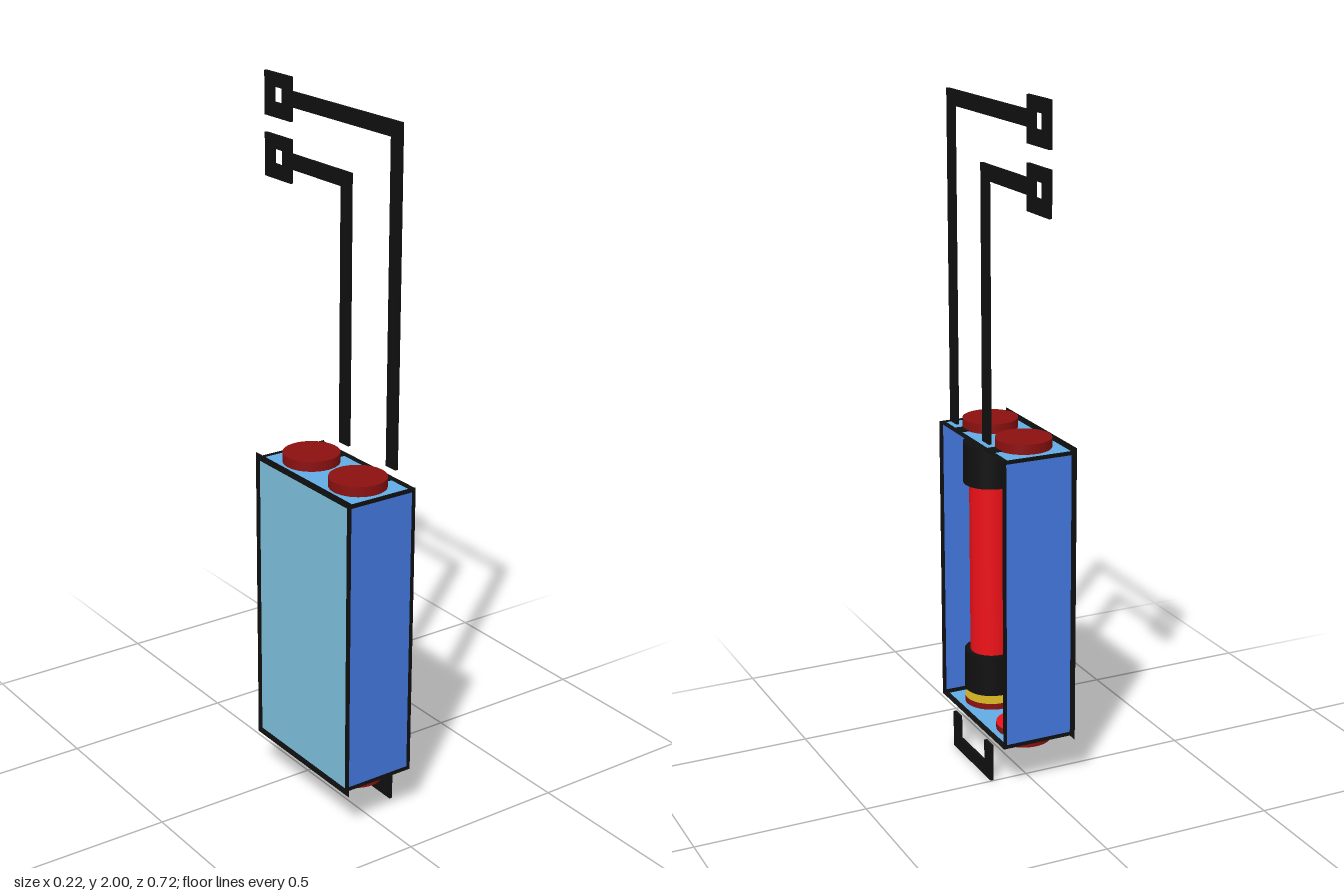
import * as THREE from 'three';

const mat = (color, side = THREE.FrontSide) => new THREE.MeshStandardMaterial({ color, side });
const black = mat(0x101010);
const blackSheet = mat(0x101010, THREE.DoubleSide);
const darkRed = mat(0x8c1010);
const red = mat(0xee1118);
const yellow = mat(0xc8a820);

// rectangle outline, corner to corner
function rect(u0, v0, u1, v1, Type = THREE.Shape) {
  const r = new Type();
  r.moveTo(u0, v0); r.lineTo(u1, v0); r.lineTo(u1, v1); r.lineTo(u0, v1); r.closePath();
  return r;
}

function poly(points) {
  return new THREE.Shape(points.map(([u, v]) => new THREE.Vector2(u, v)));
}

function add(parent, name, geometry, material) {
  const mesh = new THREE.Mesh(geometry, material);
  mesh.name = name;
  parent.add(mesh);
  return mesh;
}

// thin coloured wall with a black border; right = border width on the u1 side
function wall(parent, name, [u0, v0, u1, v1], border, color, right = border) {
  const g = new THREE.Group();
  g.name = name;
  const inner = [u0 + border, v0 + border, u1 - right, v1 - border];
  const frame = rect(u0, v0, u1, v1);
  frame.holes.push(rect(...inner, THREE.Path));
  add(g, name + 'Border', new THREE.ShapeGeometry(frame), blackSheet);
  add(g, name + 'Sheet', new THREE.ShapeGeometry(rect(...inner)), mat(color, THREE.DoubleSide));
  parent.add(g);
  return g;
}

export function createModel() {
  const model = new THREE.Group();
  model.name = 'batteryHolder';
  const cx = -0.005, midY = 0.565;
  const slots = [0.243, 0.025];

  // case, open towards +x
  const sidePanel = wall(model, 'sidePanel', [-0.093, 0.125, 0.36, 1.005], 0.02, 0x7ec2df);
  sidePanel.rotation.y = -Math.PI / 2;
  sidePanel.position.x = -0.111;
  for (const [name, z] of [['frontWall', 0.345], ['backWall', -0.081]]) {
    wall(model, name, [-0.113, 0.135, 0.111, 0.995], 0.012, 0x4479e2).position.z = z;
  }
  for (const [name, y] of [['topWall', 0.992], ['bottomWall', 0.138]]) {
    const w = wall(model, name, [-0.113, -0.083, 0.111, 0.347], 0.01, 0x62ade4, 0.019);
    w.rotation.x = Math.PI / 2;
    w.position.y = y;
  }

  // contact discs through the end walls, with contact tabs to the open edge
  for (const s of [1, -1]) {
    slots.forEach((z, i) => {
      const inner = i === 0 ? yellow : red;
      const caps = s > 0 ? [darkRed, inner] : [inner, darkRed];
      const disc = add(model, 'contactDisc', new THREE.CylinderGeometry(0.08, 0.08, 0.047, 48), [darkRed, ...caps]);
      disc.position.set(cx, midY + s * 0.432, z);
      const tab = add(model, 'contactTab', new THREE.BoxGeometry(0.04, 0.003, 0.043), black);
      tab.position.set(0.085, midY + s * 0.429, z);
    });
  }

  // battery with black end sleeves
  const rod = add(model, 'batteryBody', new THREE.CylinderGeometry(0.063, 0.063, 0.74, 48), red);
  rod.position.set(cx, midY, slots[0]);
  for (const s of [1, -1]) {
    const sleeve = add(model, 'batterySleeve', new THREE.CylinderGeometry(0.08, 0.08, 0.122, 48), black);
    sleeve.position.set(cx, midY + s * 0.322, slots[0]);
  }

  // flat leads, drawn in the (z, y) plane
  const flat = (name, shape) => {
    const g = new THREE.ExtrudeGeometry(shape, { depth: 0.009, bevelEnabled: false });
    g.rotateY(-Math.PI / 2);
    add(model, name, g, black).position.x = 0.112;
  };
  const w = 0.0215;
  [[slots[0], 1.94], [slots[1], 1.768]].forEach(([z, y]) => {
    flat('lead', poly([[z - w, 1.018], [z + w, 1.018], [z + w, y + w], [-0.235, y + w], [-0.235, y - w], [z - w, y - w]]));
    // square terminal with a square hole
    const pad = rect(-0.36, y - 0.063, -0.233, y + 0.06);
    pad.holes.push(rect(-0.318, y - w, -0.275, y + w, THREE.Path));
    flat('terminal', pad);
  });

  // U-shaped link under the case
  const [a, b] = slots;
  flat('bottomLink', poly([
    [a + w, 0.112], [a + w, 0], [b - w, 0], [b - w, 0.112],
    [b + w, 0.112], [b + w, 0.043], [a - w, 0.043], [a - w, 0.112],
  ]));

  return model;
}
